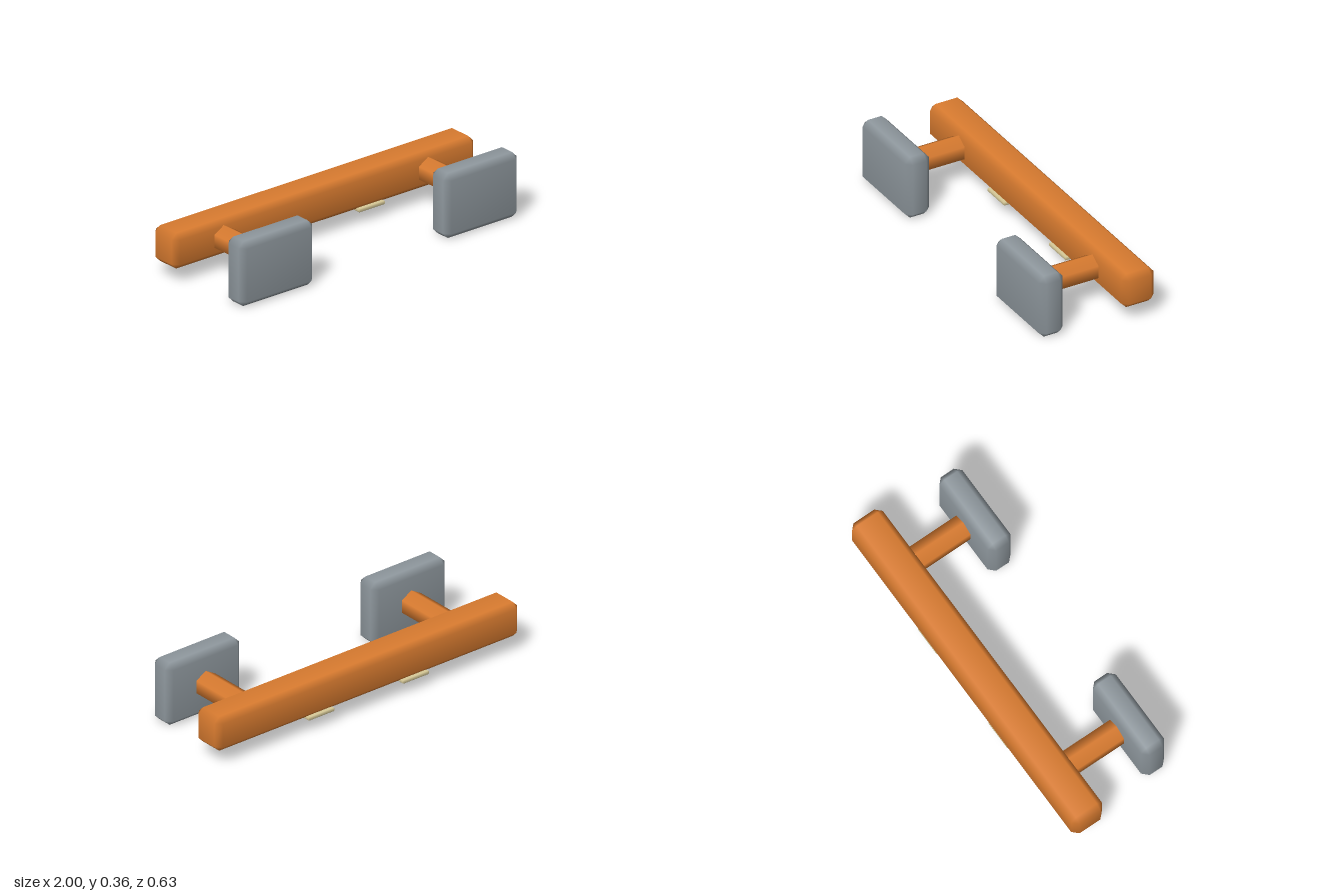
import * as THREE from 'three';
import { ConvexGeometry } from 'three/addons/geometries/ConvexGeometry.js';

// Box with 45-degree chamfers, shaded softly with area-weighted normals
function chamferBox(size, c) {
  const half = size.map((s) => s / 2);
  const points = [];
  for (const sx of [-1, 1]) for (const sy of [-1, 1]) for (const sz of [-1, 1]) {
    for (let axis = 0; axis < 3; axis++) {
      const p = [sx, sy, sz].map((s, i) => s * (half[i] - (i === axis ? 0 : c)));
      points.push(new THREE.Vector3(...p));
    }
  }
  const geometry = new ConvexGeometry(points);
  const pos = geometry.attributes.position;
  const normal = geometry.attributes.normal;
  for (let i = 0; i < pos.count; i++) {
    const p = [pos.getX(i), pos.getY(i), pos.getZ(i)];
    const axis = p.findIndex((v, k) => Math.abs(v) > half[k] - c / 2);
    const w = half.map((h) => c / (2 * (h - c)));
    w[axis] = 1 + w[0] + w[1] + w[2] - w[axis];
    const n = new THREE.Vector3(...w.map((v, k) => v * Math.sign(p[k]))).normalize();
    normal.setXYZ(i, n.x, n.y, n.z);
  }
  return geometry;
}

export function createModel() {
  const model = new THREE.Group();
  model.name = 'bumperBar';

  const material = (name, color) => {
    const m = new THREE.MeshStandardMaterial({ color });
    m.name = name;
    return m;
  };
  const orange = material('orange', 0xda7c30);
  const grey = material('grey', 0x8f989e);
  const tan = material('tan', 0xd8ca98);

  const add = (name, geometry, mat, x, y, z) => {
    const mesh = new THREE.Mesh(geometry, mat);
    mesh.name = name;
    mesh.position.set(x, y, z);
    model.add(mesh);
  };

  // Long beam along the back
  add('beam', chamferBox([2, 0.198, 0.192], 0.031), orange, 0, 0.181, -0.221);

  // Shared shapes for both sides; the posts are hexagonal with an edge on top
  const post = new THREE.CylinderGeometry(0.072, 0.072, 0.32, 6).rotateX(Math.PI / 2);
  const plate = chamferBox([0.49, 0.36, 0.144], 0.032);
  const pad = chamferBox([0.172, 0.02, 0.182], 0.004);

  for (const [side, s] of [['left', 1], ['right', -1]]) {
    add(side + 'Post', post, orange, s * 0.679, 0.181, 0.025);
    add(side + 'Plate', plate, grey, s * 0.679, 0.18, 0.246);
    add(side + 'Pad', pad, tan, s * 0.312, 0.077, -0.221);
  }
  return model;
}
